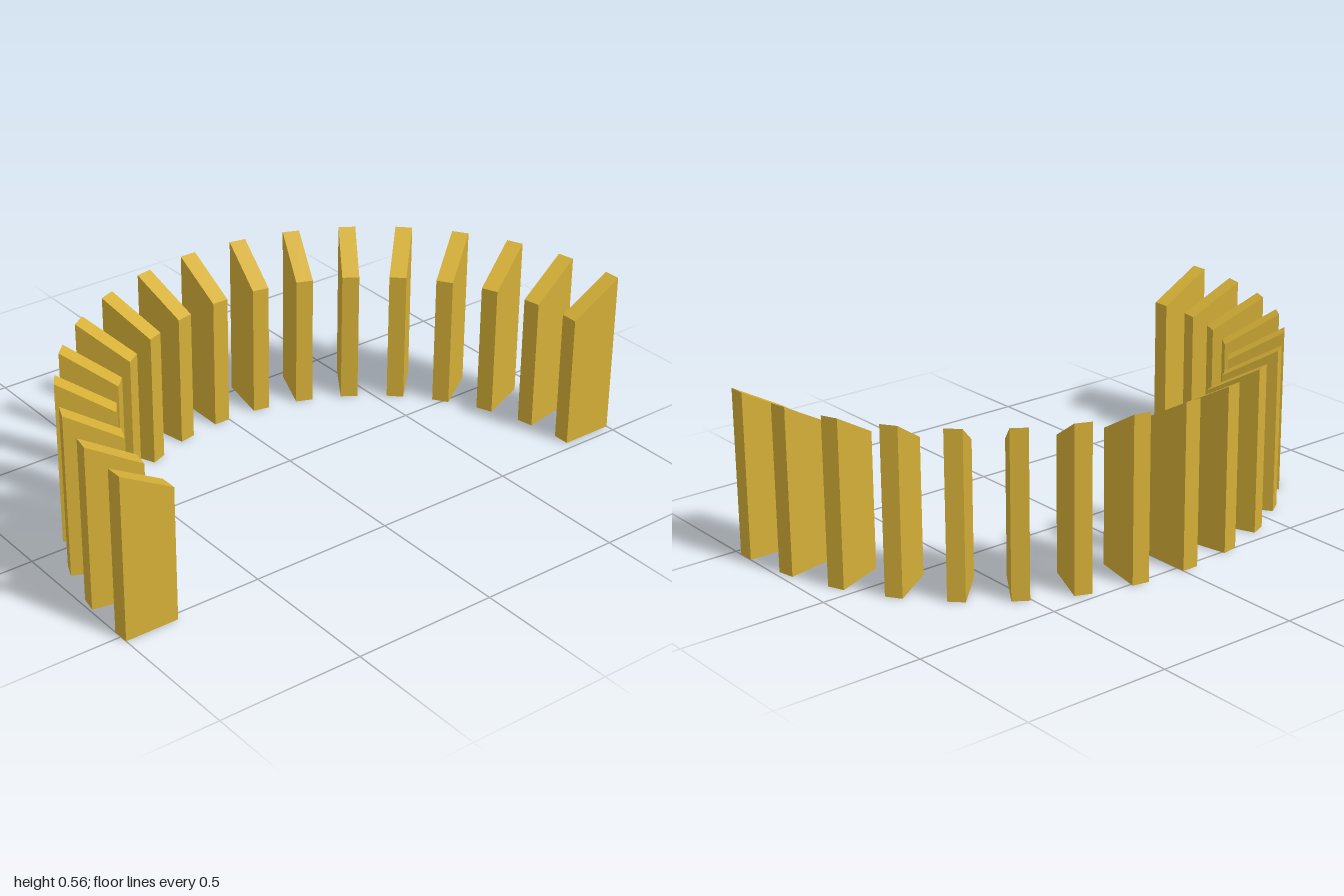
import * as THREE from 'three';

const COUNT = 17;
const INNER = 0.815, OUTER = 1.0;   // radial extent of each slab
const THICK = 0.058;
const LOW = 0.462, HIGH = 0.565;    // inner and outer heights
const CENTRE_X = 0.47;

// Upright slab with one side on the radial line and a top sloping down to the inside
function slabGeometry() {
  const geo = new THREE.BoxGeometry(THICK, HIGH, OUTER - INNER);
  geo.translate(THICK / 2, HIGH / 2, (INNER + OUTER) / 2);
  const pos = geo.attributes.position;
  const mid = (INNER + OUTER) / 2;
  for (let i = 0; i < pos.count; i++) {
    if (pos.getY(i) > HIGH / 2 && pos.getZ(i) < mid) pos.setY(i, LOW);
  }
  geo.computeVertexNormals();
  return geo;
}

export function createModel() {
  const model = new THREE.Group();
  model.name = 'slabArc';
  const gold = new THREE.MeshStandardMaterial({ color: 0xd4af37 });
  gold.name = 'gold';
  const geo = slabGeometry();

  // Half circle of slabs, from the back round the right side to the front
  for (let i = 0; i < COUNT; i++) {
    const slab = new THREE.Mesh(geo, gold);
    slab.name = `slab${i + 1}`;
    slab.position.x = CENTRE_X;
    slab.rotation.y = Math.PI + (Math.PI * i) / (COUNT - 1);
    model.add(slab);
  }
  return model;
}
